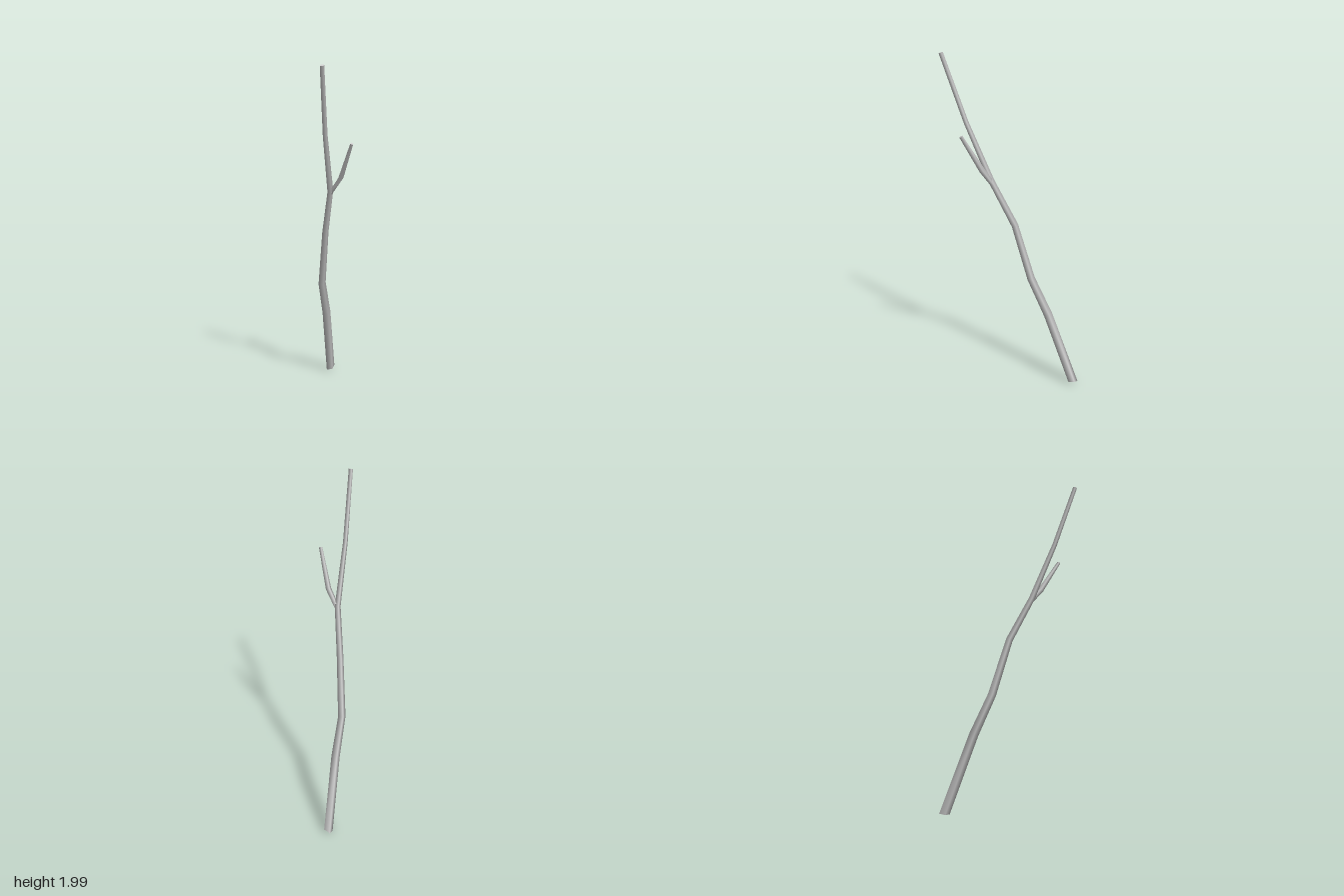
import * as THREE from 'three';

const SIDES = 4;
const TWIST = 0.28;

// Square-section limb through nodes [x, y, z, radius]; normals are smooth along the bark, sharp at the caps.
function limb(name, nodes, material, startNormal) {
  const pts = nodes.map(([x, y, z]) => new THREE.Vector3(x, y, z));
  const last = pts.length - 1;
  const dir = (a, b) => pts[b].clone().sub(pts[a]).normalize();

  const rings = pts.map((p, i) => {
    const t = new THREE.Vector3();
    if (i > 0) t.add(dir(i - 1, i));
    if (i < last) t.add(dir(i, i + 1));
    if (i === 0 && startNormal) t.copy(startNormal);
    t.normalize();
    const u = new THREE.Vector3(1, 0, 0).addScaledVector(t, -t.x).normalize();
    const v = t.clone().cross(u);
    return Array.from({ length: SIDES }, (_, j) => {
      const a = TWIST + (j / SIDES) * Math.PI * 2;
      return p.clone()
        .addScaledVector(u, Math.cos(a) * nodes[i][3])
        .addScaledVector(v, Math.sin(a) * nodes[i][3]);
    });
  });

  // Bark vertices, then separate copies for the two end caps
  const verts = [...rings.flat(), ...rings[0], ...rings[last]];
  const index = [];
  for (let i = 0; i < last; i++) {
    for (let j = 0; j < SIDES; j++) {
      const k = (j + 1) % SIDES;
      const a = i * SIDES + j, b = i * SIDES + k;
      index.push(a, b, b + SIDES, a, b + SIDES, a + SIDES);
    }
  }
  const bottom = rings.length * SIDES, top = bottom + SIDES;
  for (let j = 1; j < SIDES - 1; j++) {
    index.push(bottom, bottom + j + 1, bottom + j);
    index.push(top, top + j, top + j + 1);
  }

  const geometry = new THREE.BufferGeometry().setFromPoints(verts);
  geometry.setIndex(index);
  geometry.computeVertexNormals();
  const mesh = new THREE.Mesh(geometry, material);
  mesh.name = name;
  return mesh;
}

export function createModel() {
  const group = new THREE.Group();
  group.name = 'branchedStick';
  const wood = new THREE.MeshStandardMaterial({ color: 0xcccccc });

  // Main stem, with an obliquely cut foot
  group.add(limb('mainStem', [
    [0.071, 0.017, -0.367, 0.029],
    [0.022, 0.45, -0.213, 0.026],
    [-0.019, 0.67, -0.112, 0.023],
    [-0.013, 1.01, -0.016, 0.02],
    [-0.004, 1.28, 0.115, 0.0175],
    [-0.053, 1.615, 0.255, 0.014],
    [-0.088, 1.996, 0.386, 0.0125],
  ], wood, new THREE.Vector3(-0.45, 1, 0.12)));

  // Side twig growing out of the fork
  group.add(limb('sideTwig', [
    [-0.004, 1.265, 0.11, 0.014],
    [0.046, 1.365, 0.17, 0.0165],
    [0.086, 1.572, 0.282, 0.01],
  ], wood));

  return group;
}
